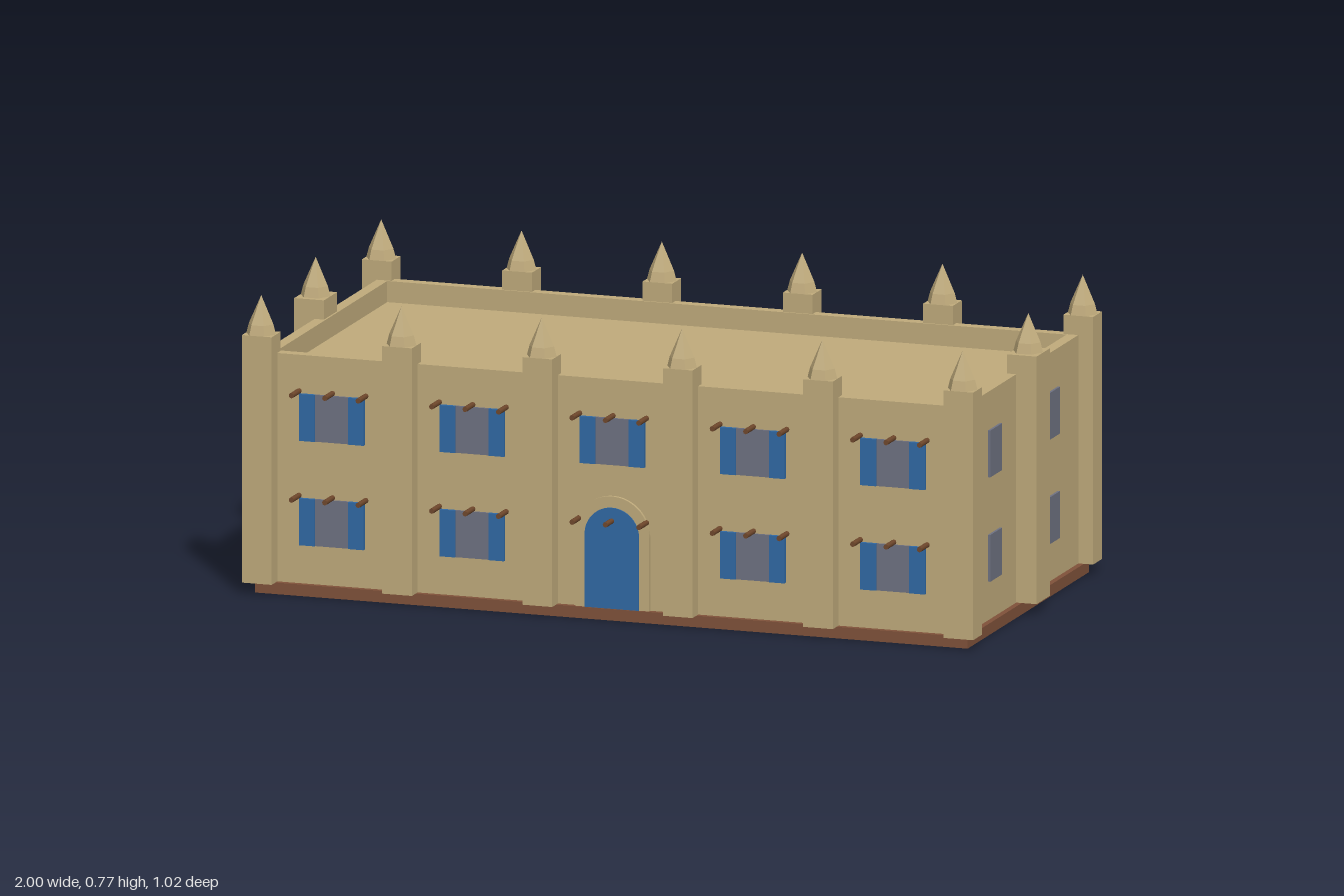
import * as THREE from 'three';

const mat = (name, color) => {
  const m = new THREE.MeshStandardMaterial({ color });
  m.name = name;
  return m;
};

export function createModel() {
  const root = new THREE.Group();
  root.name = 'building';
  const stone = mat('sandstone', 0xc0ab7c);
  const plinth = mat('plinthBrown', 0x80523a);
  const wood = mat('woodBrown', 0x70482c);
  const blue = mat('paintedBlue', 0x3069a5);
  const glass = mat('greyGlass', 0x6f7282);

  const add = (parent, name, geo, material, x = 0, y = 0, z = 0) => {
    const m = new THREE.Mesh(geo, material);
    m.name = name;
    m.position.set(x, y, z);
    parent.add(m);
    return m;
  };
  const box = (parent, name, material, w, h, d, x, y, z) =>
    add(parent, name, new THREE.BoxGeometry(w, h, d), material, x, y, z);

  const WX = 0.945, WZ = 0.448, Y0 = 0.03, ROOF = 0.57, TOP = 0.625, T = 0.03;

  // Plinth, main block and parapet
  box(root, 'plinth', plinth, 1.92, Y0, 0.925, 0, Y0 / 2, 0);
  box(root, 'mainBlock', stone, WX * 2, ROOF - Y0, WZ * 2, 0, (ROOF + Y0) / 2, 0);
  const rect = (P, w, h) => new P().moveTo(-w, -h).lineTo(w, -h).lineTo(w, h).lineTo(-w, h).closePath();
  const ring = rect(THREE.Shape, WX, WZ);
  ring.holes.push(rect(THREE.Path, WX - T, WZ - T));
  const parapet = new THREE.ExtrudeGeometry(ring, { depth: TOP - ROOF, bevelEnabled: false });
  parapet.rotateX(-Math.PI / 2);
  add(root, 'parapet', parapet, stone, 0, ROOF, 0);

  // Buttress with a six-sided spire
  const spireGeo = new THREE.LatheGeometry(
    [[0.04, 0], [0.033, 0.026], [0, 0.1]].map(([r, y]) => new THREE.Vector2(r, y)), 6
  ).rotateY(Math.PI / 6).toNonIndexed();
  spireGeo.computeVertexNormals();
  const buttress = (x, z, w, d) => {
    const g = new THREE.Group();
    g.name = 'buttress';
    g.position.set(x, 0, z);
    box(g, 'buttressShaft', stone, w, 0.645, d, 0, Y0 + 0.3225, 0);
    add(g, 'spire', spireGeo, stone, 0, 0.675, 0);
    root.add(g);
  };
  for (const s of [1, -1]) {
    for (let i = 0; i < 6; i++) buttress(-0.945 + i * 0.378, s * 0.457, 0.08, 0.068);
    buttress(s * 0.96, 0, 0.08, 0.1);
  }

  // Long facades: windows with shutters and projecting beam ends
  const pegGeo = new THREE.CylinderGeometry(0.007, 0.007, 0.07, 8).rotateX(Math.PI / 2);
  const facade = (hasDoor) => {
    const g = new THREE.Group();
    g.name = hasDoor ? 'frontFacade' : 'backFacade';
    for (let i = -2; i <= 2; i++) {
      for (const y of [0.192, 0.464]) {
        const x = i * 0.378;
        for (const k of [-1, 0, 1]) add(g, 'beamEnd', pegGeo, wood, x + k * 0.09, y + 0.067, WZ + 0.025);
        if (hasDoor && i === 0 && y < 0.3) continue;
        box(g, 'windowPane', glass, 0.09, 0.122, 0.008, x, y, WZ + 0.002);
        for (const k of [-1, 1]) box(g, 'shutter', blue, 0.042, 0.122, 0.016, x + k * 0.066, y, WZ + 0.002);
      }
    }
    root.add(g);
    return g;
  };
  const front = facade(true);
  facade(false).rotation.y = Math.PI;

  // Arched door and stone surround
  const arch = (P, r, spring) => new P().moveTo(-r, Y0).lineTo(r, Y0).lineTo(r, spring)
    .absarc(0, spring, r, 0, Math.PI, false).lineTo(-r, Y0);
  const surround = arch(THREE.Shape, 0.1, 0.222);
  surround.holes.push(arch(THREE.Path, 0.073, 0.22));
  const extrude = (s, depth) => new THREE.ExtrudeGeometry(s, { depth, bevelEnabled: false, curveSegments: 20 });
  add(front, 'doorSurround', extrude(surround, 0.009), stone, 0, 0, WZ);
  add(front, 'door', extrude(arch(THREE.Shape, 0.073, 0.22), 0.012), blue, 0, 0, WZ);

  // Plain windows on the short sides
  for (const sx of [1, -1]) for (const z of [-0.22, 0.22]) for (const y of [0.192, 0.464])
    box(root, 'sideWindow', glass, 0.009, 0.122, 0.09, sx * (WX + 0.002), y, z);

  return root;
}
